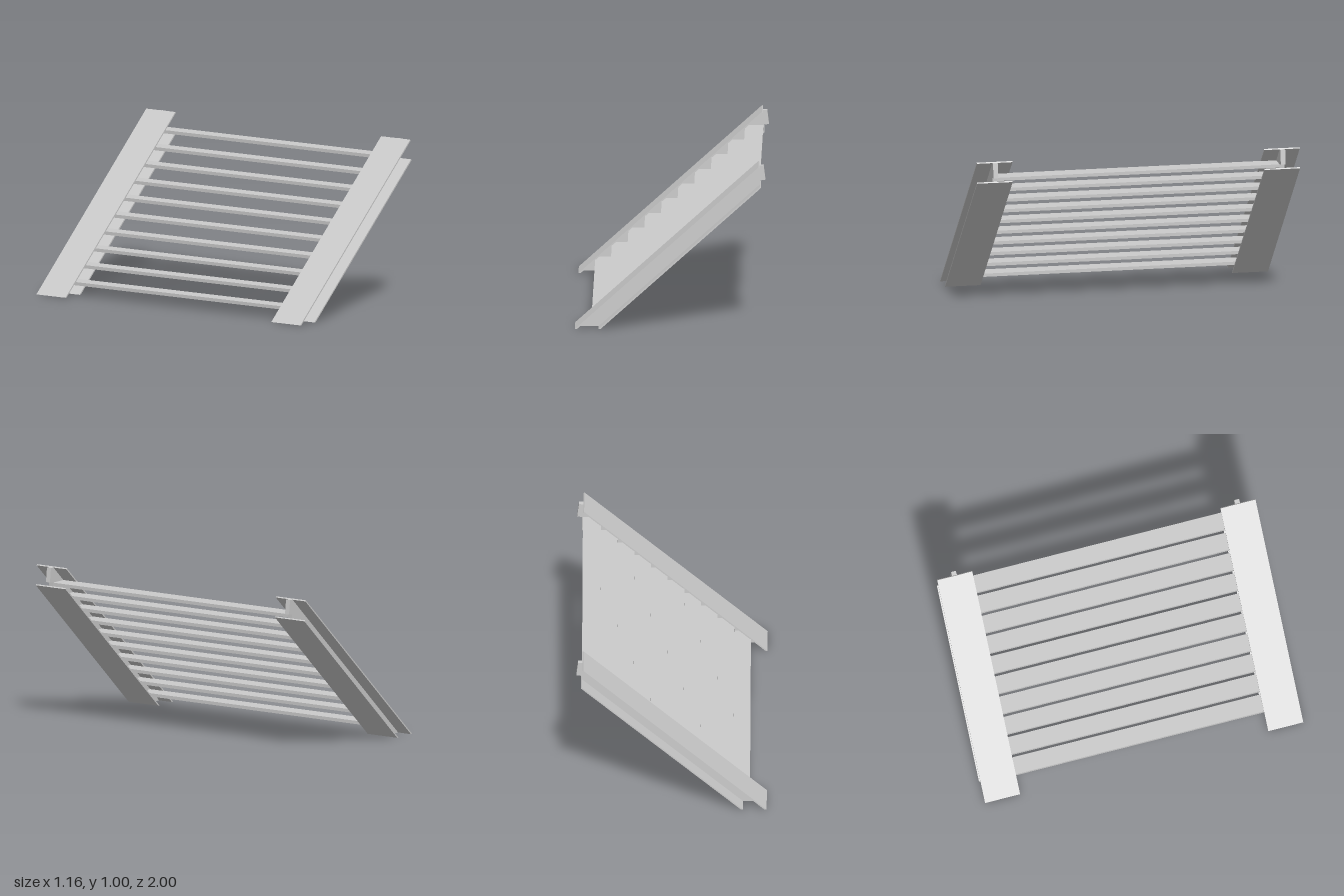
import * as THREE from 'three';

const material = new THREE.MeshStandardMaterial({ color: 0xcccccc, flatShading: true });

// Extrude a side outline (x, y) between two z values
function plate(name, points, z0, z1) {
  const shape = new THREE.Shape(points.map(([x, y]) => new THREE.Vector2(x, y)));
  const geometry = new THREE.ExtrudeGeometry(shape, { depth: z1 - z0, bevelEnabled: false });
  geometry.translate(0, 0, z0);
  const mesh = new THREE.Mesh(geometry, material);
  mesh.name = name;
  return mesh;
}

// Sloped I-beam: two wide flanges joined by a thin web with a hooked upper end
const topFlange = [[-0.578, 0], [-0.565, 0], [0.541, 0.994], [0.535, 1]];
const bottomFlange = [[-0.435, 0], [-0.422, 0], [0.55, 0.872], [0.544, 0.878]];
const web = [[-0.565, 0], [-0.435, 0], [0.544, 0.878], [0.545, 0.902],
  [0.578, 0.907], [0.567, 0.995], [0.541, 0.994]];

function createStringer(name, side) {
  const group = new THREE.Group();
  group.name = name;
  const add = (part, points, a, b) =>
    group.add(plate(part, points, Math.min(a * side, b * side), Math.max(a * side, b * side)));
  add('topFlange', topFlange, 0.78, 1);
  add('bottomFlange', bottomFlange, 0.78, 1);
  add('web', web, 0.875, 0.905);
  return group;
}

export function createModel() {
  const model = new THREE.Group();
  model.name = 'staircase';
  model.add(createStringer('frontStringer', 1), createStringer('backStringer', -1));

  // Flat treads spanning between the two webs
  const treads = new THREE.Group();
  treads.name = 'treads';
  const treadGeometry = new THREE.BoxGeometry(0.111, 0.02, 1.78);
  for (let i = 0; i < 10; i++) {
    const tread = new THREE.Mesh(treadGeometry, material);
    tread.name = `tread${i + 1}`;
    tread.position.set(-0.421 + i * 0.101, 0.074 + i * 0.0908, 0);
    treads.add(tread);
  }
  model.add(treads);
  return model;
}
